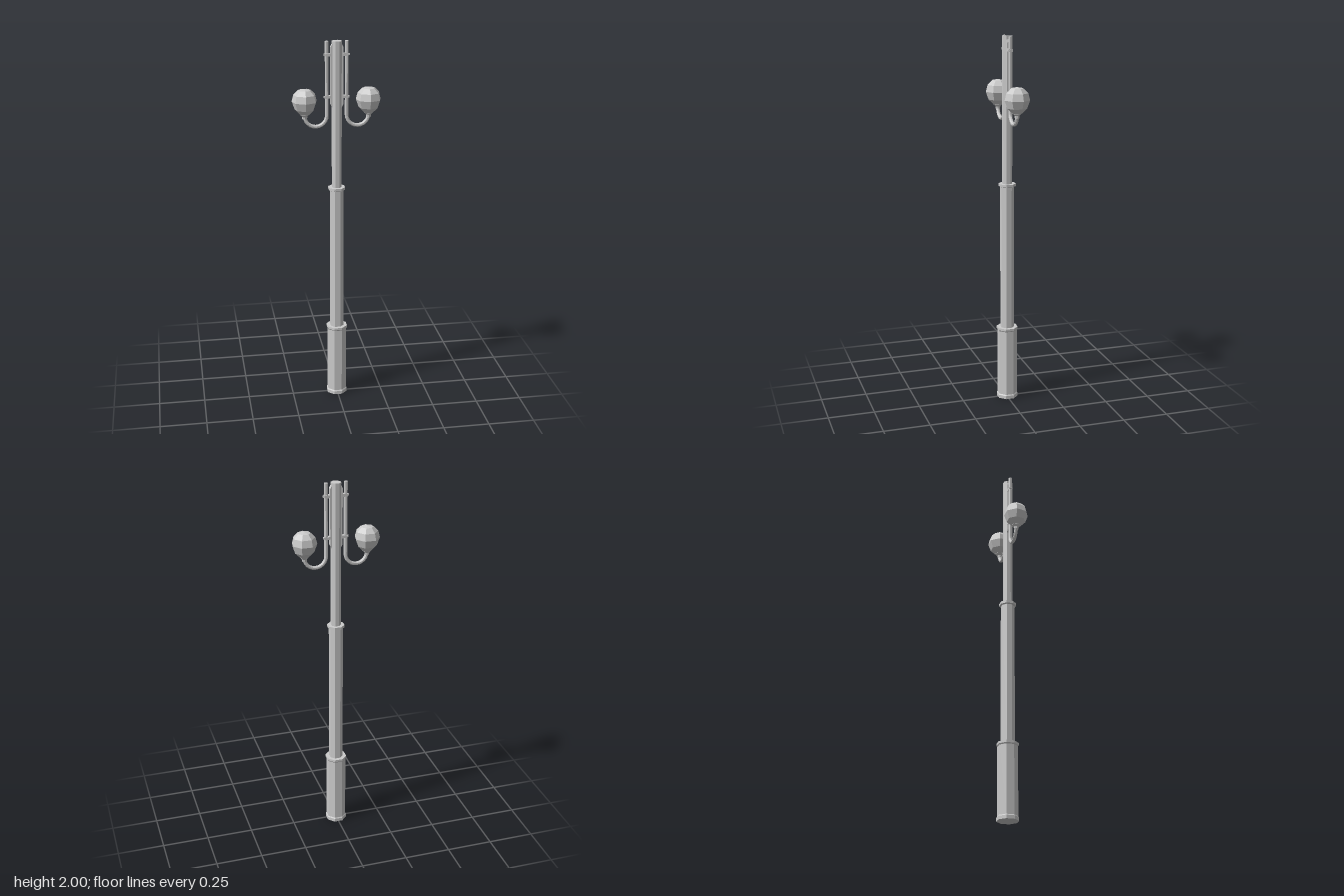
import * as THREE from 'three';

const AXIS_Z = -0.005;
const material = new THREE.MeshStandardMaterial({ color: 0xcccccc, flatShading: true });

function add(parent, name, geometry, x = 0, y = 0, z = 0) {
  const mesh = new THREE.Mesh(geometry, material);
  mesh.name = name;
  mesh.position.set(x, y, z);
  parent.add(mesh);
  return mesh;
}

// Faceted turned part; profile is [radius, height] from bottom to top.
function turned(profile, sides, phase = 0) {
  return new THREE.LatheGeometry(profile.map(([r, y]) => new THREE.Vector2(r, y)), sides, phase);
}

// Octagonal part with flats facing the axes; radii are measured to the flats.
function octagon(profile) {
  const k = 1 / Math.cos(Math.PI / 8);
  return turned(profile.map(([r, y]) => [r * k, y]), 8, Math.PI / 8);
}

// Centreline of a lamp arm: straight down, round the hook, up to the socket.
function armPath() {
  const path = new THREE.CurvePath();
  const points = [new THREE.Vector3(0.052, 2, 0), new THREE.Vector3(0.052, 1.612, 0)];
  for (let i = 1; i <= 12; i++) {
    const a = Math.PI * (1 + i / 12);
    points.push(new THREE.Vector3(0.11 + 0.058 * Math.cos(a), 1.612 + 0.058 * Math.sin(a), 0));
  }
  for (let i = 1; i < points.length; i++) path.add(new THREE.LineCurve3(points[i - 1], points[i]));
  return { path, points };
}

// Tube rings placed exactly at the path points, with closed ends.
function armGeometry(radius, sides) {
  const { points } = armPath();
  const positions = [], index = [];
  points.forEach((p, i) => {
    const a = points[Math.max(i - 1, 0)], b = points[Math.min(i + 1, points.length - 1)];
    const t = b.clone().sub(a).normalize();
    if (i <= 1) t.set(0, -1, 0);
    if (i === points.length - 1) t.set(0, 1, 0);
    for (let j = 0; j < sides; j++) {
      const s = ((j + 0.5) / sides) * Math.PI * 2;
      const c = radius * Math.cos(s);
      positions.push(p.x - t.y * c, p.y + t.x * c, p.z + radius * Math.sin(s));
      if (i === 0) continue;
      const n = (j + 1) % sides, lo = (i - 1) * sides, hi = i * sides;
      index.push(lo + j, lo + n, hi + j, lo + n, hi + n, hi + j);
    }
  });
  const last = (points.length - 1) * sides;
  for (let j = 1; j < sides - 1; j++) {
    index.push(0, j + 1, j, last, last + j, last + j + 1);
  }
  const geometry = new THREE.BufferGeometry();
  geometry.setAttribute('position', new THREE.Float32BufferAttribute(positions, 3));
  geometry.setIndex(index);
  geometry.computeVertexNormals();
  return geometry;
}

function lampArm(name) {
  const group = new THREE.Group();
  group.name = name;
  add(group, 'curvedArm', armGeometry(0.01, 8));

  // Backing plate with chamfered ends, fixed to the pole
  const plate = new THREE.Shape();
  plate.moveTo(0.022, 1.65);
  plate.lineTo(0.033, 1.67);
  plate.lineTo(0.033, 1.97);
  plate.lineTo(0.022, 1.99);
  plate.closePath();
  add(group, 'mountingPlate',
    new THREE.ExtrudeGeometry(plate, { depth: 0.022, bevelEnabled: false }), 0, 0, -0.011);

  // Two clamps holding the arm to the plate
  for (const y of [1.71, 1.93]) {
    add(group, 'clampBlock', new THREE.BoxGeometry(0.03, 0.014, 0.022), 0.045, y);
    add(group, 'clampBolt', new THREE.BoxGeometry(0.008, 0.01, 0.012), 0.063, y);
  }

  // Socket cup and faceted globe
  add(group, 'socket',
    turned([[0, 1.598], [0.013, 1.598], [0.014, 1.61], [0.024, 1.62], [0.024, 1.627], [0, 1.627]], 8), 0.168);
  add(group, 'globe',
    turned([[0, 1.622], [0.026, 1.622], [0.052, 1.648], [0.067, 1.69],
      [0.058, 1.726], [0.034, 1.75], [0, 1.757]], 7), 0.168);
  return group;
}

export function createModel() {
  const model = new THREE.Group();
  model.name = 'streetLamp';
  const lamp = new THREE.Group();
  lamp.name = 'lampPost';
  lamp.position.z = AXIS_Z;
  model.add(lamp);

  // Stepped octagonal column
  add(lamp, 'base', octagon([[0, 0], [0.054, 0], [0.054, 0.018], [0.05, 0.024],
    [0.05, 0.394], [0.054, 0.4], [0.054, 0.412], [0, 0.412]]));
  add(lamp, 'middleColumn', octagon([[0.035, 0.41], [0.035, 1.202], [0.043, 1.206],
    [0.043, 1.22], [0, 1.22]]));
  add(lamp, 'upperPole', octagon([[0.025, 1.215], [0.025, 2], [0, 2]]));

  // Matching arms; the second is turned half round the column
  const left = lampArm('leftLamp');
  const right = lampArm('rightLamp');
  right.rotation.y = Math.PI;
  // Keep the globe facets facing the same way on both sides
  right.getObjectByName('globe').rotation.y = Math.PI;
  lamp.add(left, right);
  return model;
}
